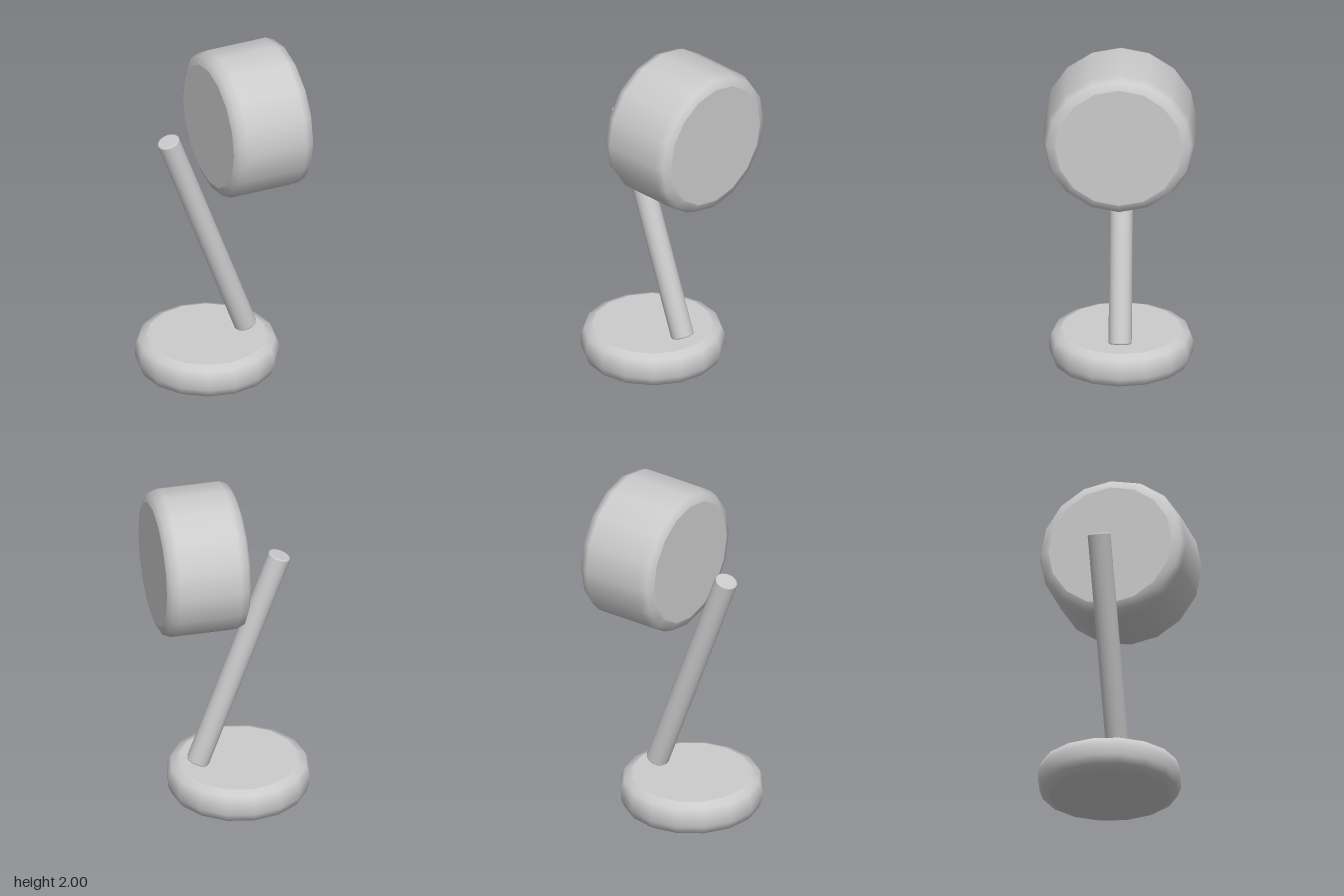
import * as THREE from 'three';

const SIDES = 16;

// Solid disc along y, centred on its origin, with rounded rims and flat caps
function roundedCylinder(name, radius, height, bevel, material) {
  const group = new THREE.Group();
  group.name = name;
  const h = height / 2;
  const rim = [[bevel, 0], [bevel * 0.29, bevel * 0.29], [0, bevel]];
  const profile = [
    ...rim.map(([inset, up]) => new THREE.Vector2(radius - inset, -h + up)),
    ...rim.slice().reverse().map(([inset, up]) => new THREE.Vector2(radius - inset, h - up)),
  ];
  const wall = new THREE.Mesh(new THREE.LatheGeometry(profile, SIDES), material);
  wall.name = name + 'Wall';
  group.add(wall);
  for (const side of [-1, 1]) {
    const cap = new THREE.Mesh(new THREE.CircleGeometry(radius - bevel, SIDES), material);
    cap.name = name + (side > 0 ? 'TopCap' : 'BottomCap');
    cap.rotation.x = -side * Math.PI / 2;
    cap.position.y = side * h;
    group.add(cap);
  }
  return group;
}

export function createModel() {
  const model = new THREE.Group();
  model.name = 'deskLamp';
  const material = new THREE.MeshStandardMaterial({ color: 0xcccccc });

  // Round foot
  const base = roundedCylinder('base', 0.41, 0.195, 0.067, material);
  base.position.set(-0.045, 0.1, 0);
  base.scale.y = 0.2 / 0.195;

  // Leaning pole
  const pole = roundedCylinder('pole', 0.066, 1.4, 0.009, material);
  pole.position.set(-0.046, 0.872, 0);
  pole.rotation.z = THREE.MathUtils.degToRad(20);

  // Drum-shaped head, lying along x
  const head = roundedCylinder('head', 0.43, 0.49, 0.068, material);
  head.position.set(0.21, 1.57, 0);
  head.rotation.z = -Math.PI / 2;

  model.add(base, pole, head);
  return model;
}
